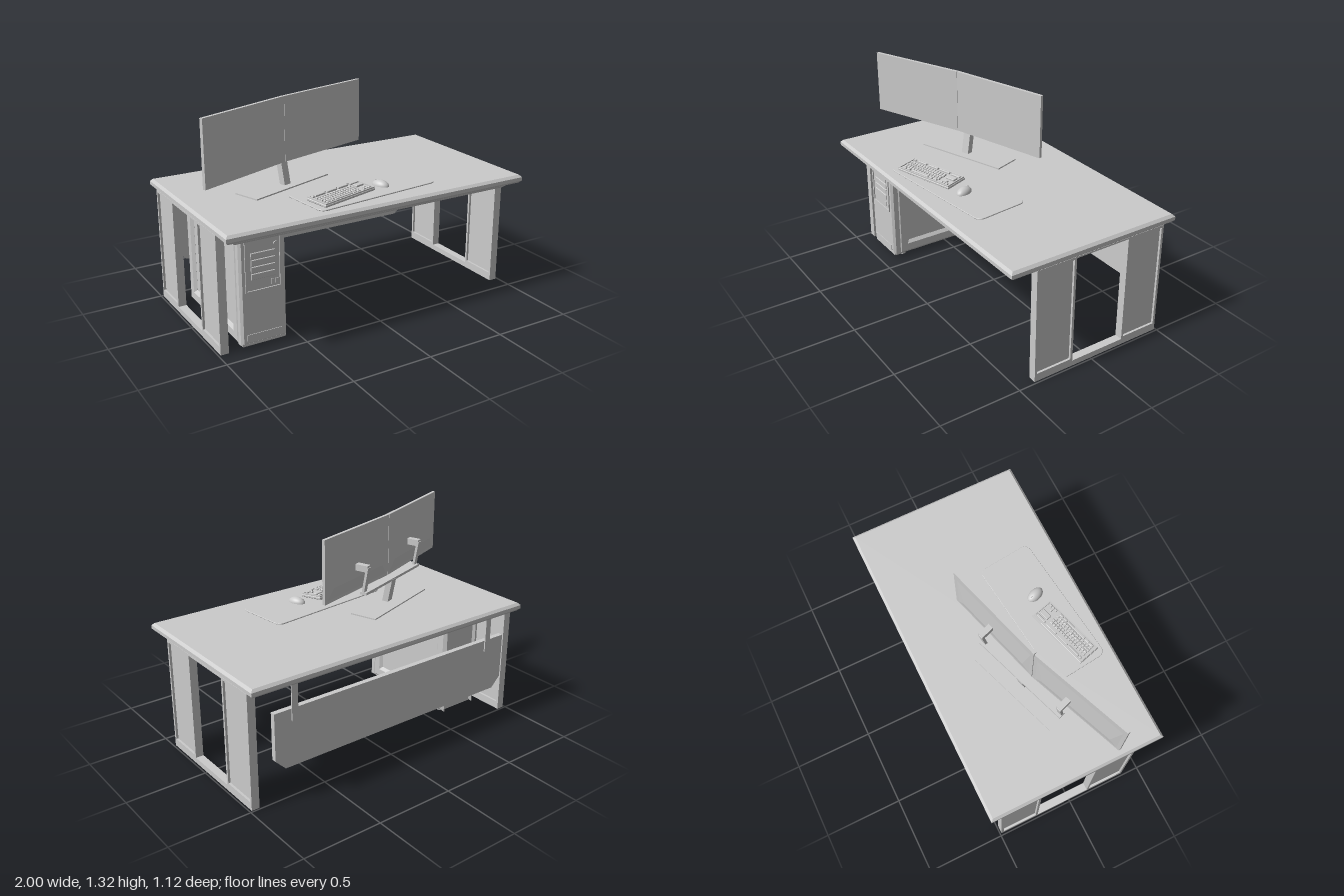
import * as THREE from 'three';
import { mergeGeometries } from 'three/addons/utils/BufferGeometryUtils.js';
import { ConvexGeometry } from 'three/addons/geometries/ConvexGeometry.js';

const material = new THREE.MeshStandardMaterial({ color: 0xcccccc, flatShading: true });
const smooth = new THREE.MeshStandardMaterial({ color: 0xcccccc });

function add(parent, name, geometry, x = 0, y = 0, z = 0, mat = material) {
  const mesh = new THREE.Mesh(geometry, mat);
  mesh.name = name;
  mesh.position.set(x, y, z);
  parent.add(mesh);
  return mesh;
}

function group(parent, name, x, y, z, turn = 0) {
  const g = new THREE.Group();
  g.name = name;
  g.position.set(x, y, z);
  g.rotation.y = turn;
  parent.add(g);
  return g;
}

const box = (w, h, d) => new THREE.BoxGeometry(w, h, d);

// Rectangle outline centred on (x, y), with optional rounded corners
function rect(w, h, r = 0, x = 0, y = 0, Type = THREE.Shape) {
  const s = new Type(), a = w / 2, b = h / 2;
  if (!r) {
    s.moveTo(x - a, y - b).lineTo(x + a, y - b).lineTo(x + a, y + b).lineTo(x - a, y + b);
  } else {
    const q = Math.PI / 2;
    s.absarc(x + a - r, y - b + r, r, -q, 0);
    s.absarc(x + a - r, y + b - r, r, 0, q);
    s.absarc(x - a + r, y + b - r, r, q, 2 * q);
    s.absarc(x - a + r, y - b + r, r, 2 * q, 3 * q);
  }
  s.closePath();
  return s;
}

// Extrusion centred on z = 0, chamfered by `size` across the outline and `thick` in depth
function extrude(shape, depth, size = 0, thick = size) {
  const inner = depth - 2 * thick;
  return new THREE.ExtrudeGeometry(shape, {
    depth: inner, bevelEnabled: size > 0, bevelSize: size, bevelThickness: thick,
    bevelSegments: 1, curveSegments: 6,
  }).translate(0, 0, -inner / 2);
}

// Horizontal slab centred on its origin
const slab = (w, d, t, c, r = 0) =>
  extrude(rect(w - 2 * c, d - 2 * c, r), t, c).rotateX(-Math.PI / 2);

function buildDesk(root) {
  const desk = group(root, 'desk', 0, 0, 0);
  add(desk, 'desktop', slab(2, 1.12, 0.052, 0.015), 0, 0.741, 0);
  add(desk, 'underFrame', slab(1.86, 0.98, 0.04, 0.012), 0, 0.697, 0);

  // Side legs: an open frame with a thinner panel in each half
  for (const side of [-1, 1]) {
    const leg = group(desk, side > 0 ? 'leftLeg' : 'rightLeg', side * 0.962, 0, 0);
    const outline = rect(0.88, 0.715, 0, -0.05, 0.3575);
    outline.holes.push(rect(0.36, 0.67, 0, -0.05, 0.37, THREE.Path));
    for (const z of [0.26, -0.36]) {
      outline.holes.push(rect(0.23, 0.65, 0, z, 0.375, THREE.Path));
      add(leg, 'legPanel', box(0.022, 0.655, 0.235), 0, 0.375, z);
    }
    add(leg, 'legFrame', extrude(outline, 0.05).rotateY(-Math.PI / 2));
  }

  // Hanging back panel with clipped lower corners
  const panel = new THREE.Shape();
  panel.moveTo(-0.815, 0.215).lineTo(0.785, 0.215).lineTo(0.85, 0.28).lineTo(0.85, 0.57);
  panel.lineTo(-0.88, 0.57).lineTo(-0.88, 0.28).closePath();
  add(desk, 'backPanel', extrude(panel, 0.032), 0, 0, -0.516);
  for (const x of [-0.74, 0.72])
    add(desk, 'panelBracket', extrude(rect(0.04, 0.257, 0.0195), 0.008), x, 0.6115, -0.536);
}

function buildComputer(root) {
  const pc = group(root, 'computer', -0.725, 0, 0);
  add(pc, 'caseBody', box(0.255, 0.635, 0.69), 0, 0.345, 0.03);

  // Raised side frames with bevelled openings
  const side = rect(0.67, 0.605, 0, 0.025, 0.345);
  side.holes.push(rect(0.58, 0.53, 0, 0.025, 0.355, THREE.Path));
  for (const s of [-1, 1])
    add(pc, 'sideFrame', extrude(side, 0.04, 0.02, 0.017).rotateY(-Math.PI / 2), s * 0.125, 0, 0);

  // Front bezel, drive bays and controls
  add(pc, 'frontBezel', extrude(rect(0.256, 0.61), 0.06, 0.014), 0, 0.349, 0.385);
  const rim = rect(0.22, 0.31, 0, 0, 0.505);
  rim.holes.push(rect(0.204, 0.294, 0, 0, 0.505, THREE.Path));
  add(pc, 'bezelRim', extrude(rim, 0.01), 0, 0, 0.417);
  for (let i = 0; i < 4; i++)
    add(pc, 'driveBay', extrude(rect(0.142, 0.03), 0.01, 0.003), 0, 0.562 - i * 0.041, 0.415);
  add(pc, 'powerButton', new THREE.CylinderGeometry(0.014, 0.014, 0.012, 16).rotateX(Math.PI / 2), 0.08, 0.61, 0.415);
  for (const x of [0.055, 0.083]) add(pc, 'port', box(0.016, 0.03, 0.01), x, 0.388, 0.415);
  add(pc, 'lowerSlot', box(0.215, 0.038, 0.008), 0, 0.075, 0.415);
  add(pc, 'frontLip', slab(0.27, 0.07, 0.025, 0.006), 0, 0.032, 0.375);
  for (const x of [-0.09, 0.09])
    for (const z of [-0.25, 0.33])
      add(pc, 'foot', new THREE.CylinderGeometry(0.022, 0.022, 0.03, 16), x, 0.015, z);
}

function buildMonitors(root) {
  const stand = group(root, 'monitorStand', -0.355, 0.767, -0.045, 0.33);
  add(stand, 'standBase', box(0.62, 0.008, 0.175), 0, 0.004, 0.005);
  add(stand, 'post', box(0.05, 0.16, 0.04), 0, 0.083, 0.008).rotation.x = -0.19;
  add(stand, 'crossBar', box(0.645, 0.016, 0.045), 0, 0.158, -0.002);

  for (const s of [-1, 1]) {
    // Upright arm leaning back, with a head reaching to the screen
    add(stand, 'arm', box(0.032, 0.17, 0.016), s * 0.305, 0.24, -0.012).rotation.x = -0.17;
    add(stand, 'armHead', box(0.036, 0.04, 0.085), s * 0.305, 0.315, 0.012);

    // Screens meet at the seam and angle slightly inward
    const screen = group(stand, 'monitor', -0.038, 0.358, 0.062, -s * 0.047);
    add(screen, 'screen', box(0.65, 0.393, 0.02), s * 0.326, 0, -0.01);
    const back = [];
    for (const x of [-1, 1])
      back.push([x * 0.315, -0.194, -0.018], [x * 0.315, 0.194, -0.018],
        [x * 0.25, -0.11, -0.028]);
    add(screen, 'backShell', new ConvexGeometry(back.map(p => new THREE.Vector3(...p))), s * 0.326);
  }
}

function buildDeskItems(root) {
  add(root, 'mousePad', slab(0.86, 0.35, 0.008, 0.002, 0.04), 0.01, 0.771, 0.277).rotation.y = 0.112;

  // Keyboard: sloping case, rim and rows of keys
  const keyboard = group(root, 'keyboard', -0.176, 0.787, 0.341, 0.285);
  const tilt = group(keyboard, 'keyboardTilt', 0, 0, 0);
  tilt.rotation.x = 0.07;
  add(tilt, 'keyboardCase', slab(0.417, 0.148, 0.018, 0.004));
  const rim = rect(0.412, 0.143);
  rim.holes.push(rect(0.396, 0.127, 0, 0, 0, THREE.Path));
  add(tilt, 'keyboardRim', extrude(rim, 0.008).rotateX(-Math.PI / 2), 0, 0.012, 0);
  const keys = [];
  const key = (x, z, w = 0.017, d = 0.014) =>
    keys.push(extrude(rect(w - 0.004, d - 0.004), 0.014, 0.002).rotateX(-Math.PI / 2).translate(x, 0.013, z));
  for (let row = 0; row < 4; row++)
    for (let col = 0; col < 14; col++) key(-0.18 + col * 0.021 + (row % 2) * 0.004, -0.023 + row * 0.019);
  for (const x of [-0.17, -0.135, 0.05, 0.085]) key(x, 0.053, 0.026);
  key(-0.042, 0.053, 0.14);
  for (let i = 0; i < 3; i++) key(-0.125 + i * 0.095, -0.053, 0.082, 0.013);
  key(-0.182, -0.053);
  key(0.158, -0.05, 0.07, 0.016);
  key(0.158, -0.014, 0.062, 0.034);
  key(0.158, 0.032);
  for (let i = 0; i < 3; i++) key(0.137 + i * 0.021, 0.052);
  add(tilt, 'keys', mergeGeometries(keys));
  for (const x of [-0.17, 0.17]) add(keyboard, 'keyboardFoot', box(0.03, 0.012, 0.012), x, -0.008, -0.06);

  // Mouse: domed shell with wheel
  const mouse = group(root, 'mouse', 0.125, 0.773, 0.293, 0.35);
  const dome = new THREE.SphereGeometry(1, 24, 10, 0, Math.PI * 2, 0, Math.PI / 2);
  add(mouse, 'mouseShell', dome.scale(0.036, 0.036, 0.058), 0, 0, 0, smooth);
  add(mouse, 'mouseWheel', new THREE.CylinderGeometry(0.008, 0.008, 0.006, 12).rotateZ(Math.PI / 2), 0, 0.026, -0.033);
}

export function createModel() {
  const root = new THREE.Group();
  root.name = 'computerDesk';
  buildDesk(root);
  buildComputer(root);
  buildMonitors(root);
  buildDeskItems(root);
  return root;
}
